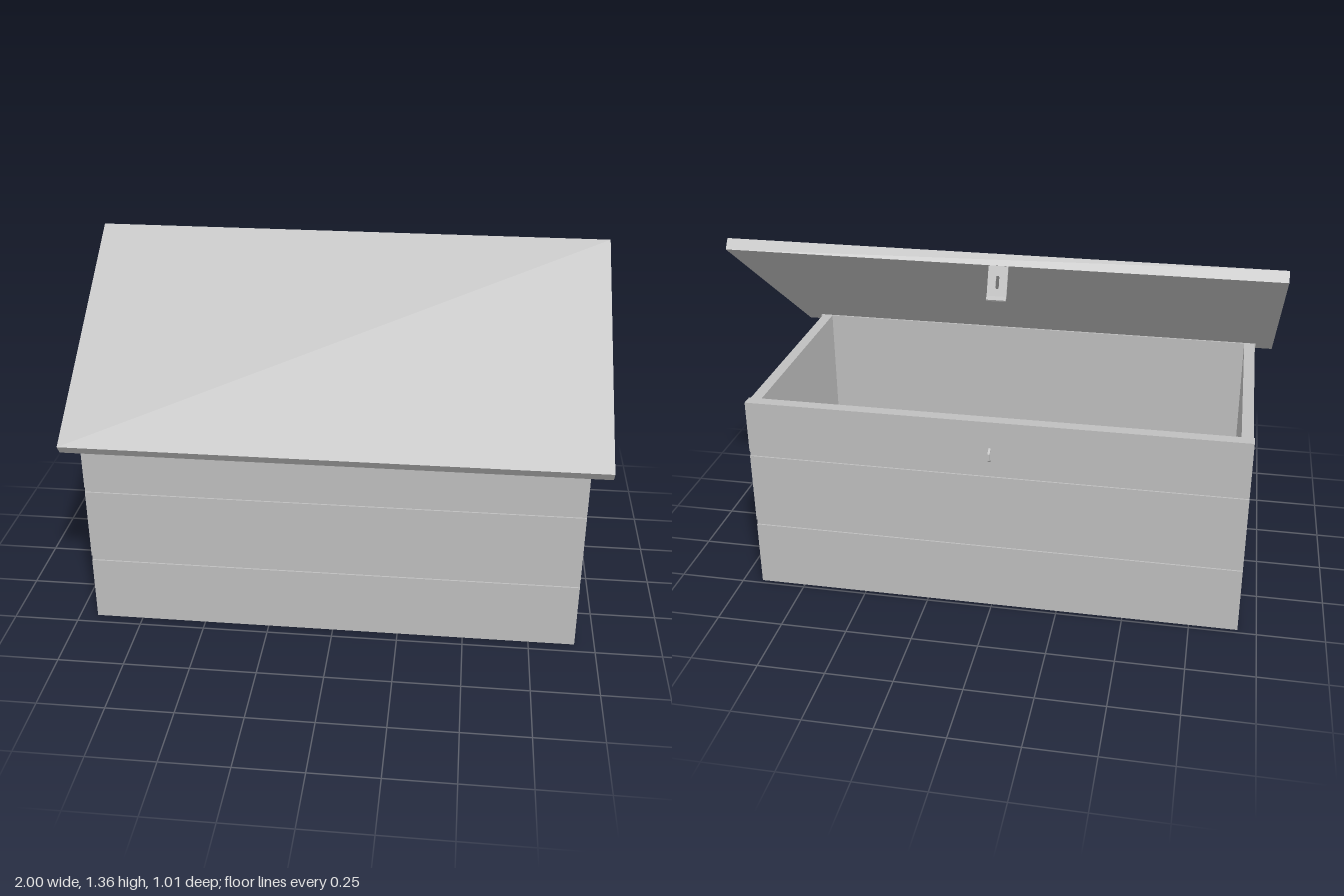
import * as THREE from 'three';

export function createModel() {
  const grey = new THREE.MeshStandardMaterial({ color: 0xbfbfbf });
  grey.name = 'plain grey';
  const root = new THREE.Group();
  root.name = 'storageChest';

  const add = (parent, name, geometry, x = 0, y = 0, z = 0) => {
    const mesh = new THREE.Mesh(geometry, grey);
    mesh.name = name;
    mesh.position.set(x, y, z);
    parent.add(mesh);
    return mesh;
  };
  const polygon = (pts) => new THREE.Shape(pts.map(([x, y]) => new THREE.Vector2(x, y)));
  const extrude = (shape, depth) =>
    new THREE.ExtrudeGeometry(shape, { depth, bevelEnabled: false }).translate(0, 0, -depth / 2);

  // Wall panel: board profile with two grooves in its outer face, which lies at local x = 0
  const panel = (name, length, thick, groove, bottom, angle, x, z) => {
    const pts = [[-thick, bottom], [0, bottom]];
    for (const y of [0.257, 0.557]) {
      pts.push([0, y], [-groove, y], [-groove, y + 0.021], [0, y + 0.021]);
    }
    pts.push([0, 0.78], [-thick, 0.78]);
    add(root, name, extrude(polygon(pts), length), x, 0, z).rotation.y = angle;
  };
  panel('frontPanel', 1.855, 0.045, 0.006, 0, -Math.PI / 2, -0.003, 0.457);
  panel('backPanel', 1.855, 0.045, 0.006, 0, Math.PI / 2, -0.003, -0.483);
  panel('leftPanel', 0.85, 0.042, 0.01, 0.005, 0, 0.917, -0.013);
  panel('rightPanel', 0.85, 0.042, 0.01, 0.005, Math.PI, -0.927, -0.013);

  // Floor between the panels
  add(root, 'floor', new THREE.BoxGeometry(1.76, 0.045, 0.85), -0.005, 0.0275, -0.013);

  // Open lid, hinged along the front
  const lid = add(root, 'lid', new THREE.BoxGeometry(2, 0.043, 1.007), 0, 1.045, 0.085);
  lid.rotation.x = 0.62;

  // Hasp: slotted plate with a bent lip
  const hasp = new THREE.Group();
  hasp.name = 'hasp';
  hasp.position.set(-0.005, 1.322, -0.331);
  hasp.rotation.x = 0.4;
  root.add(hasp);
  const plate = polygon([[-0.035, -0.113], [0.035, -0.113], [0.035, 0], [-0.035, 0]]);
  const slot = new THREE.Path();
  slot.absarc(0, -0.045, 0.006, 0, Math.PI, false);
  slot.absarc(0, -0.08, 0.006, Math.PI, Math.PI * 2, false);
  slot.closePath();
  plate.holes.push(slot);
  add(hasp, 'haspPlate', extrude(plate, 0.007));
  const lip = add(hasp, 'haspLip',
    new THREE.BoxGeometry(0.07, 0.02, 0.007).translate(0, -0.009, 0), 0, -0.112, 0);
  lip.rotation.x = 0.66;

  // Staple on the back, a narrow bent loop
  const staple = polygon([
    [0, 0.676], [0.022, 0.661], [0.022, 0.635], [0, 0.62],
    [0, 0.626], [0.017, 0.638], [0.017, 0.658], [0, 0.67],
  ]);
  add(root, 'staple', extrude(staple, 0.008), 0.003, 0, -0.483).rotation.y = Math.PI / 2;

  return root;
}
